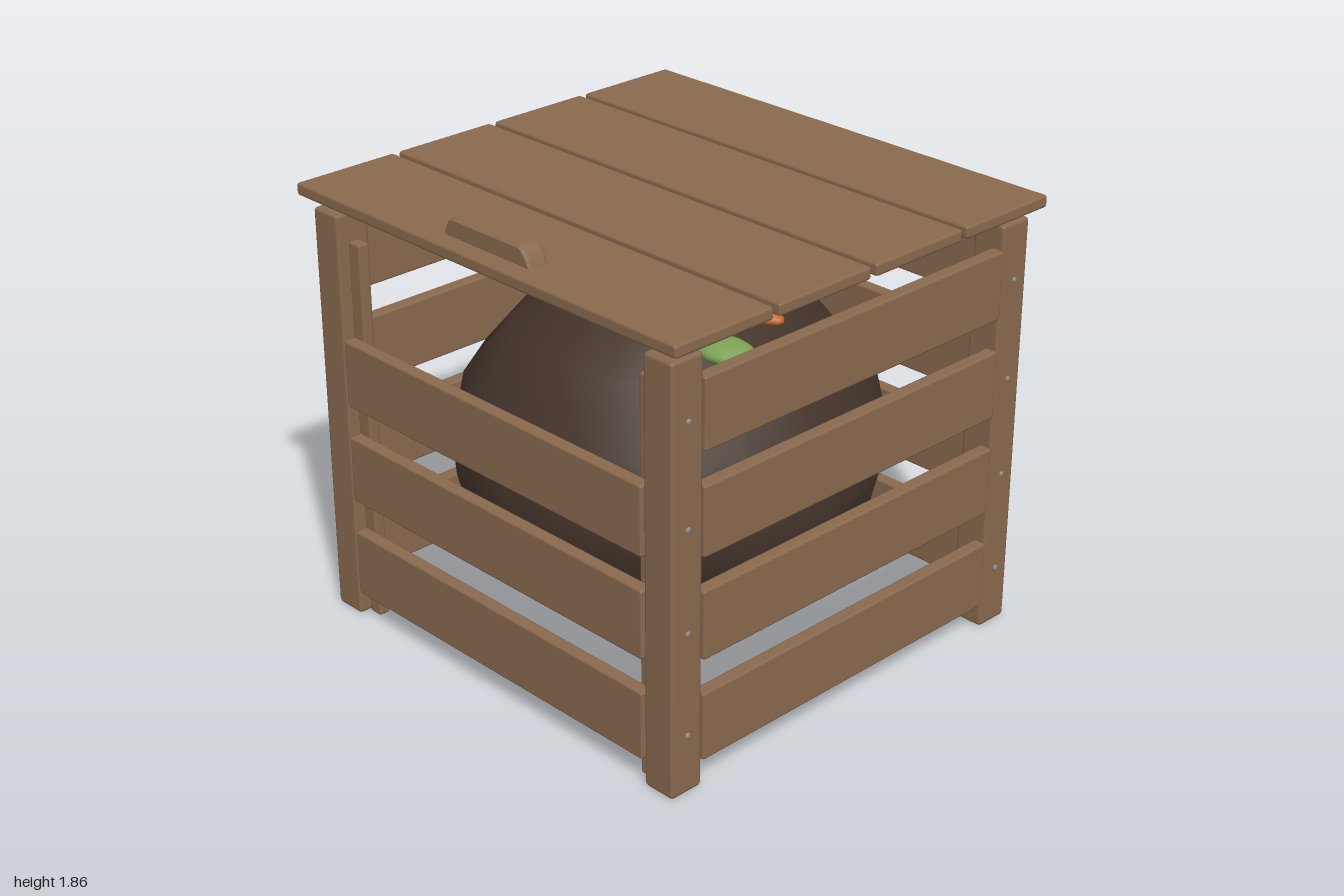
import * as THREE from 'three';
import { RoundedBoxGeometry } from 'three/addons/geometries/RoundedBoxGeometry.js';
import { mergeVertices } from 'three/addons/utils/BufferGeometryUtils.js';

const mat = (color) => new THREE.MeshStandardMaterial({ color });

export function createModel() {
  const root = new THREE.Group();
  const wood = mat(0x8a6a4f);
  const steel = mat(0x8c8c8c);

  function add(parent, name, geometry, material, x, y, z) {
    const mesh = new THREE.Mesh(geometry, material);
    mesh.name = name;
    mesh.position.set(x, y, z);
    parent.add(mesh);
    return mesh;
  }
  // Timber with slightly chamfered edges
  const board = (parent, name, w, h, d, x, y, z, r = 0.01) =>
    add(parent, name, new RoundedBoxGeometry(w, h, d, 1, r), wood, x, y, z);
  function group(name) {
    const g = new THREE.Group();
    g.name = name;
    root.add(g);
    return g;
  }

  const slatLevels = [0.24, 0.65, 1.053, 1.455];

  // Corner posts with pyramid caps and side screws
  const posts = group('cornerPosts');
  const cap = new THREE.ConeGeometry(0.065 * Math.SQRT2, 0.04, 4).rotateY(Math.PI / 4).toNonIndexed();
  cap.computeVertexNormals();
  const screw = new THREE.SphereGeometry(0.012, 8, 6).scale(0.6, 1, 1);
  for (const sx of [-1, 1]) {
    for (const sz of [-1, 1]) {
      board(posts, 'post', 0.14, 1.685, 0.146, sx * 0.88, 0.8425, sz * 0.837, 0.015);
      add(posts, 'postCap', cap, wood, sx * 0.88, 1.697, sz * 0.837);
      for (const y of slatLevels) add(posts, 'screw', screw, steel, sx * 0.952, y, sz * 0.837);
    }
    // Rail behind the removable front slats
    board(posts, 'frontGuide', 0.065, 1.575, 0.05, sx * 0.777, 0.7875, 0.84);
  }

  // Slatted walls; the front is open at the top
  const walls = group('slatWalls');
  slatLevels.forEach((y, i) => {
    for (const s of [-1, 1]) board(walls, 'sideSlat', 0.055, 0.275, 1.526, s * 0.929, y, 0);
    board(walls, 'backSlat', 1.61, 0.275, 0.055, 0, y, -0.888);
    if (i < 3) board(walls, 'frontSlat', 1.61, 0.275, 0.055, 0, y, 0.888);
  });

  // Lid of four planks on two battens
  const lid = group('lid');
  for (let i = 0; i < 4; i++) board(lid, 'lidPlank', 2, 0.05, 0.452, 0, 1.75, -0.717 + i * 0.478, 0.012);
  for (const s of [-1, 1]) board(lid, 'lidBatten', 0.11, 0.068, 1.66, s * 0.715, 1.692, 0);

  // Handle with sloping ends
  const profile = new THREE.Shape();
  profile.moveTo(-0.22, 0);
  profile.lineTo(0.22, 0);
  profile.quadraticCurveTo(0.195, 0.06, 0.165, 0.06);
  profile.lineTo(-0.165, 0.06);
  profile.quadraticCurveTo(-0.195, 0.06, -0.22, 0);
  const handle = new THREE.ExtrudeGeometry(profile, {
    depth: 0.066, bevelThickness: 0.01, bevelSize: 0.01, bevelSegments: 1, curveSegments: 5,
  });
  add(lid, 'handle', handle, wood, 0, 1.785, 0.804);

  // Compost heap: a coarse, slightly uneven ball
  const ball = new THREE.SphereGeometry(1, 16, 8);
  ball.deleteAttribute('uv');
  ball.deleteAttribute('normal');
  const heap = mergeVertices(ball, 1e-4);
  const p = heap.attributes.position;
  for (let i = 0; i < p.count; i++) {
    const x = p.getX(i), y = p.getY(i), z = p.getZ(i);
    const k = 1 + 0.015 * Math.sin(5 * x + 2 * y) * Math.cos(4 * z - y);
    p.setXYZ(i, x * 0.84 * k, y * 0.71, z * 0.84 * k);
  }
  heap.computeVertexNormals();
  add(root, 'compostHeap', heap, mat(0x43342a), 0, 0.76, 0);

  // Kitchen scraps: [name, color, position, radii, turn about y, tilt about z]
  const scraps = group('scraps');
  const scrapList = [
    ['carrotPiece', 0xc9692c, [0.11, 1.392, 0.32], [0.155, 0.037, 0.06], 0, 0],
    ['carrotPiece', 0xc9692c, [0.39, 1.4, -0.04], [0.135, 0.034, 0.055], 0.2, -0.1],
    ['greenPeel', 0x7fa458, [0.475, 1.343, 0.19], [0.15, 0.042, 0.09], 0, 0],
    ['greenPeel', 0x7fa458, [-0.07, 1.34, -0.42], [0.15, 0.042, 0.09], 0, 0],
    ['leaf', 0x7fa458, [-0.26, 1.4, 0.12], [0.15, 0.02, 0.07], 0, 0.22],
    ['darkPeel', 0x4a3a2e, [-0.45, 1.345, 0.1], [0.135, 0.042, 0.08], 0, 0.05],
    ['eggshell', 0xd9d3c8, [-0.285, 1.395, 0.34], [0.048, 0.032, 0.045], 0.3, 0],
    ['eggshell', 0xd9d3c8, [0.25, 1.405, 0.0], [0.035, 0.022, 0.03], 0, 0],
  ];
  for (const [name, color, pos, radii, turn, tilt] of scrapList) {
    const segs = name === 'eggshell' ? [8, 6] : [16, 10];
    const mesh = add(scraps, name, new THREE.SphereGeometry(1, ...segs).scale(...radii), mat(color), ...pos);
    mesh.rotation.set(0, turn, tilt);
  }

  return root;
}
